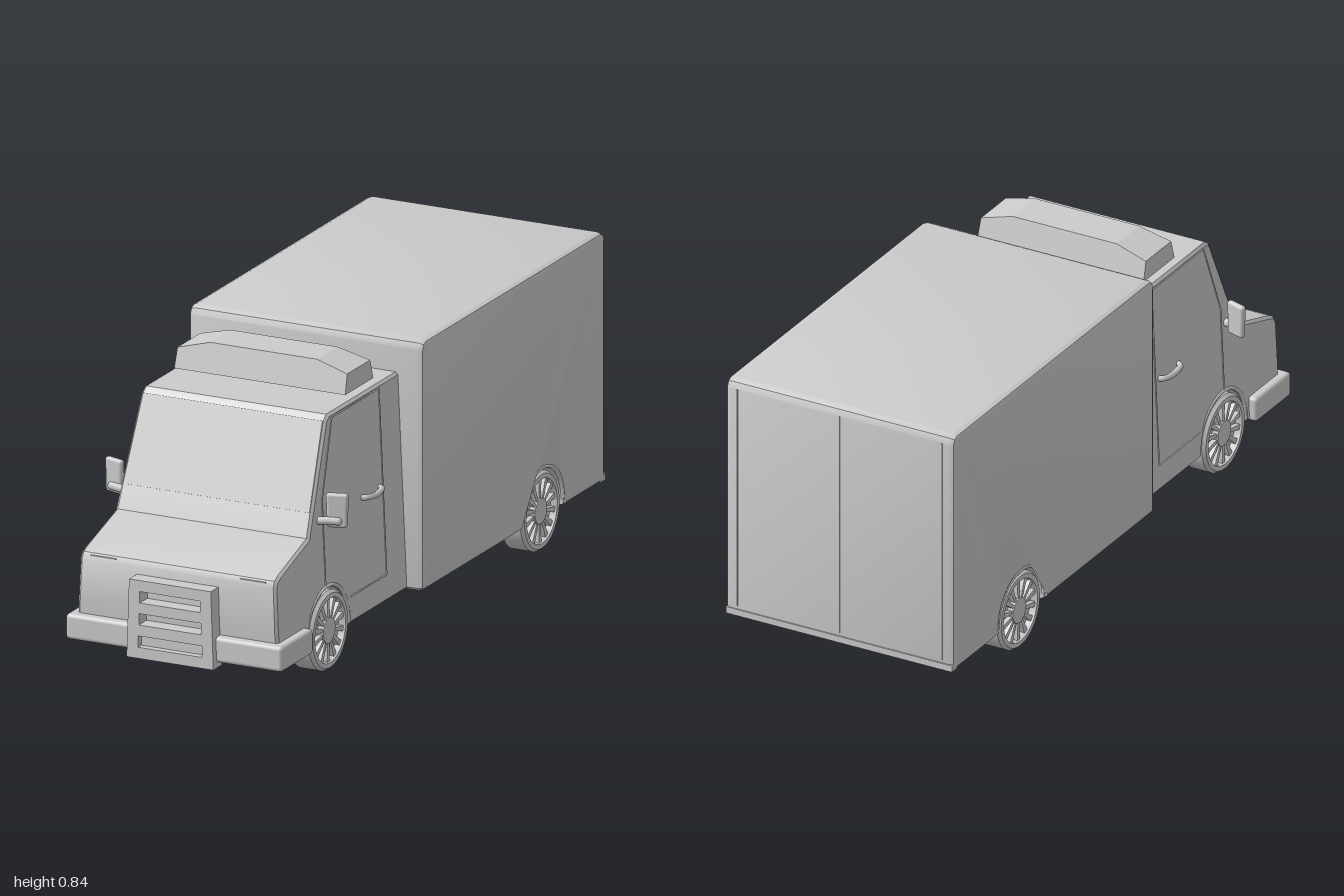
import * as THREE from 'three';
import { toCreasedNormals } from 'three/addons/utils/BufferGeometryUtils.js';
import { RoundedBoxGeometry } from 'three/addons/geometries/RoundedBoxGeometry.js';

const mat = new THREE.MeshStandardMaterial({ color: 0xcccccc, side: THREE.DoubleSide });
const FRONT_Z = 0.635, REAR_Z = -0.605, AXLE_Y = 0.12, WHEEL_R = 0.118;

function add(parent, name, geo, x = 0, y = 0, z = 0) {
  const m = new THREE.Mesh(geo, mat);
  m.name = name;
  m.position.set(x, y, z);
  parent.add(m);
  return m;
}

function warp(geo, rule) {
  const p = geo.attributes.position, v = new THREE.Vector3();
  for (let i = 0; i < p.count; i++) {
    rule(v.fromBufferAttribute(p, i));
    p.setXYZ(i, v.x, v.y, v.z);
  }
  return geo;
}

const crease = (geo, angle = 0.5) => toCreasedNormals(geo, angle);

// Side profile in (z, y) extruded across x, with a wheel arch cut from its lower edge
function sideBody(points, floor, archZ, archR, width, bevel, segments) {
  const s = new THREE.Shape();
  s.moveTo(points[0][0], floor);
  const a = Math.asin((AXLE_Y - floor) / archR), dx = archR * Math.cos(a);
  s.lineTo(archZ - dx, floor);
  s.absarc(archZ, AXLE_Y, archR, Math.PI + a, -a, true);
  points.slice(1).forEach(([z, y]) => s.lineTo(z, y));
  const g = new THREE.ExtrudeGeometry(s, {
    depth: width - 2 * bevel, bevelSize: bevel, bevelThickness: bevel,
    bevelOffset: -bevel, bevelSegments: segments, curveSegments: 28,
  });
  g.translate(0, 0, -(width / 2 - bevel));
  return g.rotateY(-Math.PI / 2);
}

// Half width of the cab at a given height
const cabX = (y) => 0.322 - 0.045 * (y - 0.1);

function makeWheel() {
  const wheel = new THREE.Group();
  const r = WHEEL_R;
  // Tyre and dished rim, revolved around the axle
  const profile = [
    [0, -0.04], [r - 0.008, -0.04], [r, -0.032], [r, 0.03], [r - 0.008, 0.04],
    [r - 0.022, 0.04], [r - 0.026, 0.02], [0, 0.02],
  ].map(([a, b]) => new THREE.Vector2(a, b));
  const tyre = crease(new THREE.LatheGeometry(profile, 40));
  add(wheel, 'tyre', tyre.rotateZ(-Math.PI / 2));
  add(wheel, 'hub', new THREE.CylinderGeometry(0.038, 0.042, 0.018, 24).rotateZ(-Math.PI / 2), 0.028);
  for (let i = 0; i < 14; i++) {
    const spoke = warp(new THREE.BoxGeometry(0.014, 0.06, 0.013), (v) => { v.z *= 1 + v.y * 10; });
    spoke.translate(0.027, 0.066, 0).rotateX((i / 14) * Math.PI * 2);
    add(wheel, 'spoke', spoke);
  }
  return wheel;
}

export function createModel() {
  const truck = new THREE.Group();
  truck.name = 'boxTruck';

  // Cargo box
  add(truck, 'cargoBox', crease(sideBody(
    [[-0.995, 0.1], [0.142, 0.1], [0.15, 0.108], [0.15, 0.82], [0.142, 0.838], [0.125, 0.846],
      [-0.97, 0.846], [-0.987, 0.838], [-0.995, 0.82]],
    0.1, REAR_Z, 0.125, 0.75, 0.018, 2)));
  add(truck, 'rearSill', new THREE.BoxGeometry(0.74, 0.02, 0.03), 0, 0.11, -0.984);
  for (const x of [-0.335, 0, 0.335]) {
    add(truck, 'rearDoorSeam', new THREE.BoxGeometry(0.004, 0.69, 0.004), x, 0.475, -0.996);
  }

  // Cab, narrowing towards the roof
  const cab = sideBody(
    [[0.12, 0.1], [0.945, 0.1], [0.953, 0.2], [0.951, 0.335], [0.942, 0.353], [0.92, 0.364],
      [0.737, 0.42], [0.604, 0.73], [0.585, 0.745], [0.12, 0.745]],
    0.1, FRONT_Z, 0.125, 0.644, 0.008, 1);
  warp(cab, (v) => { v.x *= cabX(v.y) / 0.322; });
  cab.computeVertexNormals();
  add(truck, 'cab', crease(cab));
  // Chassis closes the space between the wheels
  add(truck, 'frontChassis', new THREE.BoxGeometry(0.5, 0.17, 0.8), 0, 0.187, 0.5);
  add(truck, 'rearChassis', new THREE.BoxGeometry(0.6, 0.17, 1.08), 0, 0.187, -0.43);

  // Windscreen
  const glass = warp(new THREE.BoxGeometry(0.582, 0.264, 0.006), (v) => { v.x *= 1 - 0.15 * v.y; });
  add(truck, 'windscreen', glass, 0, 0.609, 0.656).rotation.x = -0.404;

  // Bonnet seams
  for (const s of [-1, 1]) {
    add(truck, 'bonnetSeam', new THREE.BoxGeometry(0.08, 0.003, 0.005), s * 0.238, 0.346, 0.948);
  }

  // Bumper and slotted front guard
  add(truck, 'bumper', new RoundedBoxGeometry(0.69, 0.076, 0.2, 2, 0.012), 0, 0.133, 0.878);
  const guard = new THREE.Shape([[-0.138, 0.08], [0.138, 0.08], [0.13, 0.313], [-0.13, 0.313]]
    .map(([x, y]) => new THREE.Vector2(x, y)));
  for (const [y, w] of [[0.13, 0.102], [0.197, 0.099], [0.263, 0.096]]) {
    guard.holes.push(new THREE.Path([[-w, y - 0.017], [-w, y + 0.017], [w, y + 0.017], [w, y - 0.017]]
      .map(([a, b]) => new THREE.Vector2(a, b))));
  }
  add(truck, 'frontGuard', new THREE.ExtrudeGeometry(guard, { depth: 0.055, bevelEnabled: false }), 0, 0, 0.945);

  // Roof light bar, sides sloping inwards
  const bar = new THREE.Shape([[-0.272, 0.757], [0.272, 0.757], [0.27, 0.815], [0.17, 0.842],
    [-0.17, 0.842], [-0.27, 0.815]].map(([x, y]) => new THREE.Vector2(x, y)));
  const barGeo = new THREE.ExtrudeGeometry(bar, { depth: 0.176, bevelEnabled: false }).translate(0, 0, -0.088);
  warp(barGeo, (v) => { v.z *= 1 - 3.2 * (v.y - 0.757); });
  barGeo.computeVertexNormals();
  add(truck, 'lightBar', barGeo, 0, 0, 0.35);

  for (const s of [-1, 1]) {
    add(truck, 'lightBarFoot', new THREE.BoxGeometry(0.035, 0.03, 0.07), s * 0.143, 0.75, 0.35);

    // Door seams
    const onSide = ([z, y], out = 0) => new THREE.Vector3(s * (cabX(y) + out), y, z);
    const seams = [
      [[0.27, 0.18], [0.27, 0.732]], [[0.27, 0.732], [0.565, 0.732]],
      [[0.565, 0.732], [0.645, 0.51]], [[0.645, 0.51], [0.645, 0.25]], [[0.27, 0.18], [0.5, 0.18]],
    ];
    for (const [a, b] of seams) {
      const line = new THREE.LineCurve3(onSide(a), onSide(b));
      add(truck, 'doorSeam', new THREE.TubeGeometry(line, 1, 0.0025, 4));
    }

    // Door handle
    const grip = new THREE.CatmullRomCurve3([
      onSide([0.29, 0.445], -0.005), onSide([0.3, 0.445], 0.012), onSide([0.345, 0.441], 0.017),
      onSide([0.39, 0.445], 0.012), onSide([0.4, 0.445], -0.005)]);
    add(truck, 'doorHandle', new THREE.TubeGeometry(grip, 20, 0.009, 8));

    // Wing mirror on its arm
    const arm = new THREE.CatmullRomCurve3([new THREE.Vector3(s * 0.295, 0.455, 0.672),
      new THREE.Vector3(s * 0.325, 0.457, 0.666), new THREE.Vector3(s * 0.36, 0.457, 0.656)]);
    add(truck, 'mirrorArm', new THREE.TubeGeometry(arm, 8, 0.012, 10));
    add(truck, 'mirrorArmEnd', new THREE.SphereGeometry(0.012, 10, 8), s * 0.36, 0.457, 0.656);
    const head = new RoundedBoxGeometry(0.062, 0.102, 0.02, 3, 0.009);
    warp(head, (v) => { v.x *= 1 + 1.2 * v.y; });
    add(truck, 'mirrorHead', head, s * 0.354, 0.487, 0.648).rotation.y = s * 0.3;

    // Wheels and arch trims
    for (const [name, z, x, side] of [['front', FRONT_Z, 0.285, 0.314], ['rear', REAR_Z, 0.328, 0.368]]) {
      const wheel = makeWheel();
      wheel.name = name + 'Wheel';
      wheel.position.set(s * x, AXLE_Y, z);
      if (s < 0) wheel.rotation.y = Math.PI;
      truck.add(wheel);
      const trim = new THREE.TorusGeometry(0.131, 0.006, 8, 32, Math.PI).rotateY(Math.PI / 2);
      add(truck, name + 'ArchTrim', trim, s * side, AXLE_Y, z);
    }
  }
  return truck;
}
